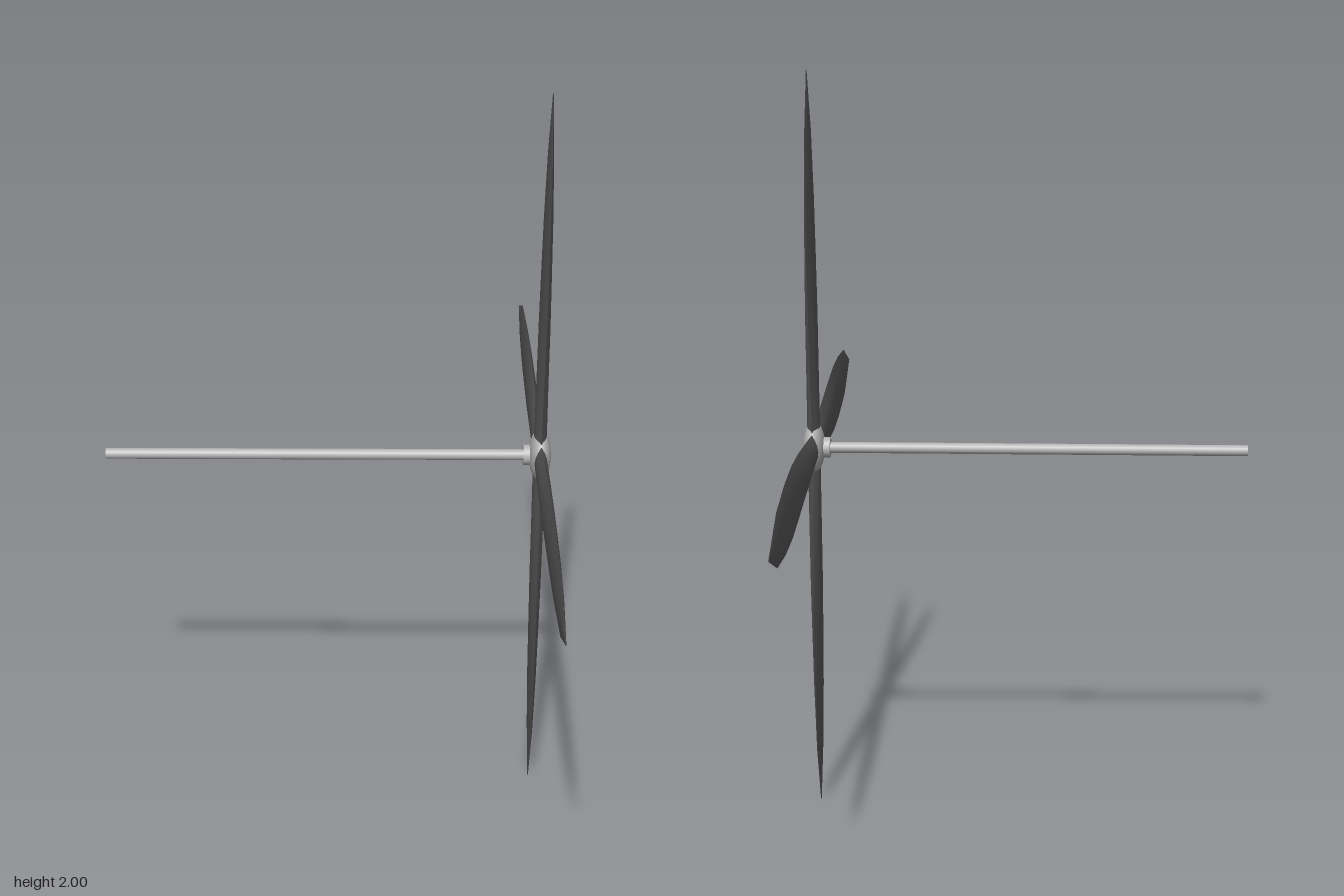
import * as THREE from 'three';

const mat = (name, color) => Object.assign(new THREE.MeshStandardMaterial({ color }), { name });

// Blade outline from root to tip: [radius, half width, half thickness]
const SECTIONS = [
  [0.0, 0.043, 0.017], [0.05, 0.046, 0.017], [0.2, 0.064, 0.016], [0.37, 0.083, 0.015],
  [0.52, 0.092, 0.013], [0.67, 0.088, 0.011], [0.84, 0.068, 0.007], [1.0, 0.001, 0.001],
];

// One bulging side of a blade, a grid reshaped by the outline
function bladeSide() {
  const rows = SECTIONS.length - 1;
  const geo = new THREE.PlaneGeometry(2, 2, 6, rows);
  const p = geo.attributes.position;
  for (let i = 0; i < p.count; i++) {
    const u = p.getX(i);
    const [r, w, t] = SECTIONS[Math.round((p.getY(i) + 1) / 2 * rows)];
    p.setXYZ(i, u * w, r, t * (1 - u * u));
  }
  geo.computeVertexNormals();
  return geo;
}

export function createModel() {
  const model = new THREE.Group();
  const metal = mat('light grey metal', 0xb4b4b4);
  const dark = mat('dark grey blade', 0x5c5c5c);
  const hubX = 0.557;

  const add = (name, geo, material, parent = model) => {
    const mesh = new THREE.Mesh(geo, material);
    mesh.name = name;
    parent.add(mesh);
    return mesh;
  };
  // Rod lying along x
  const rod = (name, radius, x0, x1) => {
    const geo = new THREE.CylinderGeometry(radius, radius, x1 - x0, 20).rotateZ(Math.PI / 2);
    add(name, geo, metal).position.set((x0 + x1) / 2, 1, 0);
  };

  rod('shaft', 0.0145, -0.59, 0.55);
  rod('collar', 0.027, 0.513, 0.53);

  // Flattened hub that the blade roots pass through
  const hub = add('hub', new THREE.SphereGeometry(1, 32, 20), metal);
  hub.scale.set(0.029, 0.068, 0.068);
  hub.position.set(hubX, 1, 0);

  // Four blades, each a front and back side with a short root spar
  const side = bladeSide();
  for (let i = 0; i < 4; i++) {
    const blade = new THREE.Group();
    blade.name = 'blade' + (i + 1);
    blade.position.set(hubX, 1, 0);
    blade.rotation.x = i * Math.PI / 2;
    add('bladeFront', side, dark, blade).rotation.y = Math.PI / 2;
    add('bladeBack', side, dark, blade).rotation.y = -Math.PI / 2;
    add('bladeSpar', new THREE.CylinderGeometry(0.003, 0.019, 0.18, 10), dark, blade).position.y = 0.09;
    model.add(blade);
  }
  return model;
}
